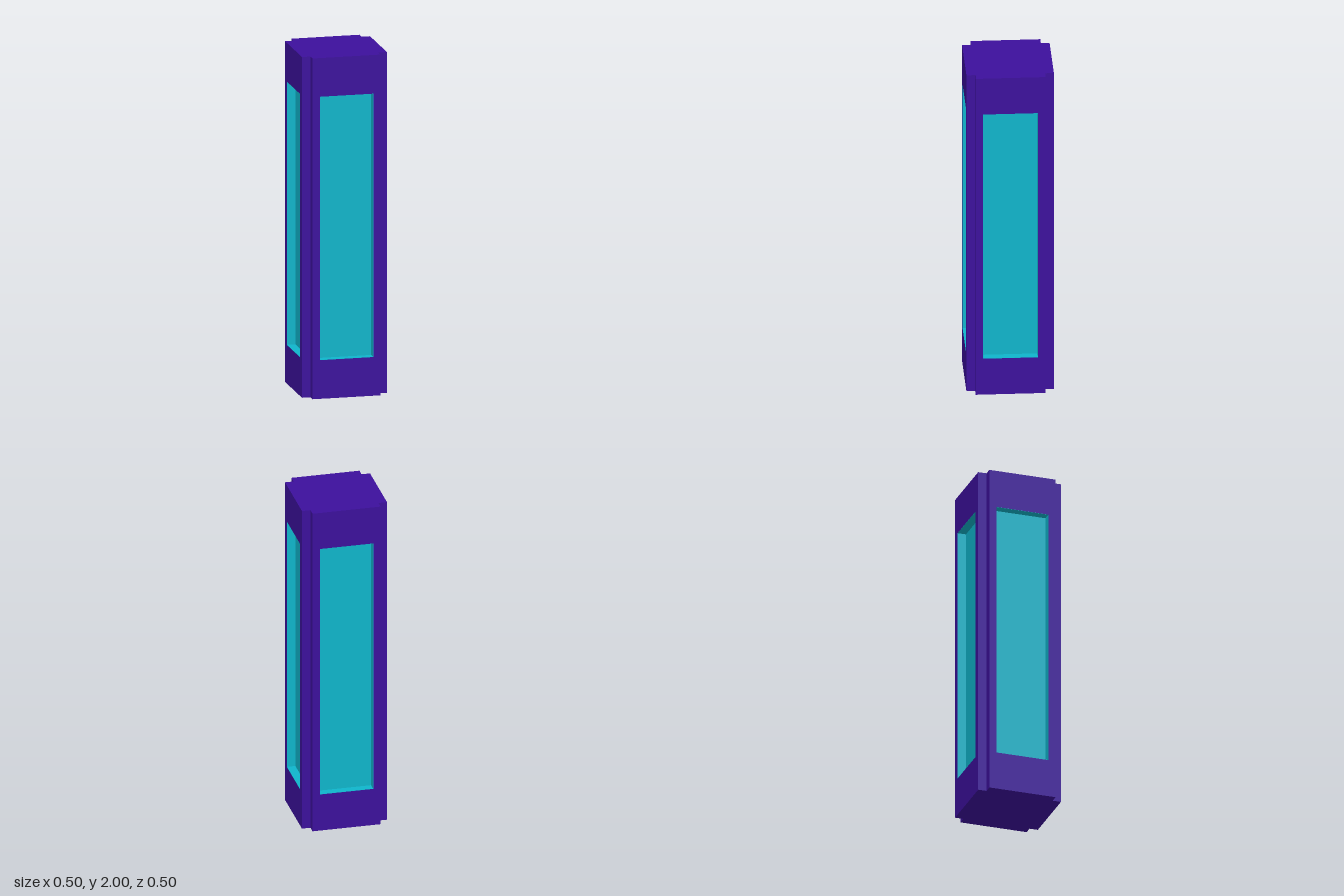
import * as THREE from 'three';

const CORE = 0.4, HEIGHT = 2, DEPTH = 0.05;       // square core and thickness of the face frames
const WIN_W = 0.312, WIN_H = 1.544, LIP = 0.001;  // recessed window and its thin lining
const CAP = 0.2;                                  // solid ends above and below the glass core

const purple = new THREE.MeshStandardMaterial({ color: 0x3c109c });
const cyan = new THREE.MeshStandardMaterial({ color: 0x0fb5cb });

function mesh(name, geometry, material) {
  const m = new THREE.Mesh(geometry, material);
  m.name = name;
  return m;
}

function rectPoints(w, h) {
  return [[-1, -1], [1, -1], [1, 1], [-1, 1]].map(([x, y]) => new THREE.Vector2(x * w / 2, y * h / 2));
}

// Rectangular ring extruded outward along +z
function ring(w, h, holeW, holeH) {
  const shape = new THREE.Shape(rectPoints(w, h));
  shape.holes.push(new THREE.Path(rectPoints(holeW, holeH).reverse()));
  return new THREE.ExtrudeGeometry(shape, { depth: DEPTH, bevelEnabled: false });
}

export function createModel() {
  const model = new THREE.Group();
  model.name = 'pillar';

  // Core: its sides form the backs of the window recesses
  const core = mesh('glassCore', new THREE.BoxGeometry(CORE, HEIGHT - 2 * CAP, CORE), cyan);
  core.position.y = HEIGHT / 2;
  model.add(core);

  // Solid ends
  for (const [name, y] of [['baseBlock', CAP / 2], ['topBlock', HEIGHT - CAP / 2]]) {
    const block = mesh(name, new THREE.BoxGeometry(CORE, CAP, CORE), purple);
    block.position.y = y;
    model.add(block);
  }

  // Four identical faces: a raised frame with a coloured window lining
  const frameGeo = ring(CORE, HEIGHT, WIN_W + 2 * LIP, WIN_H + 2 * LIP);
  const liningGeo = ring(WIN_W + 2 * LIP, WIN_H + 2 * LIP, WIN_W, WIN_H);
  ['front', 'left', 'back', 'right'].forEach((side, i) => {
    const face = new THREE.Group();
    face.name = side + 'Face';
    face.add(mesh('frame', frameGeo, purple), mesh('windowLining', liningGeo, cyan));
    const angle = i * Math.PI / 2;
    face.rotation.y = angle;
    face.position.set(Math.sin(angle) * CORE / 2, HEIGHT / 2, Math.cos(angle) * CORE / 2);
    model.add(face);
  });

  return model;
}
